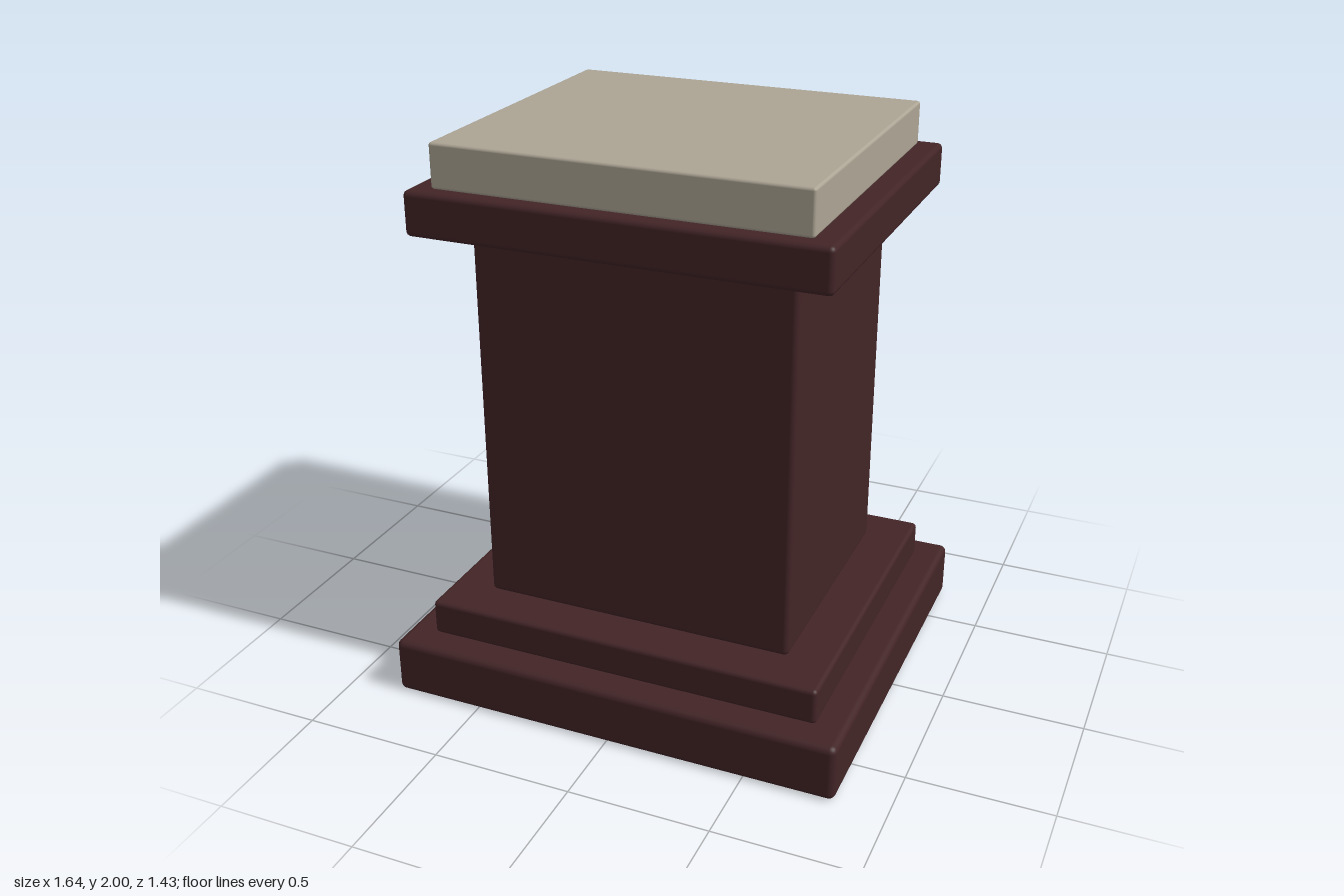
import * as THREE from 'three';
import { RoundedBoxGeometry } from 'three/addons/geometries/RoundedBoxGeometry.js';

export function createModel() {
  const model = new THREE.Group();
  model.name = 'pedestal';

  const wood = new THREE.MeshStandardMaterial({ color: 0x422426 });
  wood.name = 'dark mahogany';
  const stone = new THREE.MeshStandardMaterial({ color: 0xaca494 });
  stone.name = 'pale stone';

  // A softly rounded block resting between two heights
  function block(name, width, depth, bottom, top, radius, material) {
    const geometry = new RoundedBoxGeometry(width, top - bottom, depth, 3, radius);
    const mesh = new THREE.Mesh(geometry, material);
    mesh.name = name;
    mesh.position.y = (bottom + top) / 2;
    model.add(mesh);
  }

  // Stepped foot
  block('plinth', 1.64, 1.435, 0, 0.205, 0.024, wood);
  block('lowerStep', 1.435, 1.23, 0.205, 0.335, 0.016, wood);

  // Column
  block('shaft', 1.126, 0.922, 0.335, 1.695, 0.018, wood);

  // Capital and its display slab
  block('capital', 1.435, 1.23, 1.695, 1.848, 0.018, wood);
  block('topSlab', 1.28, 1.13, 1.848, 2, 0.01, stone);

  return model;
}
